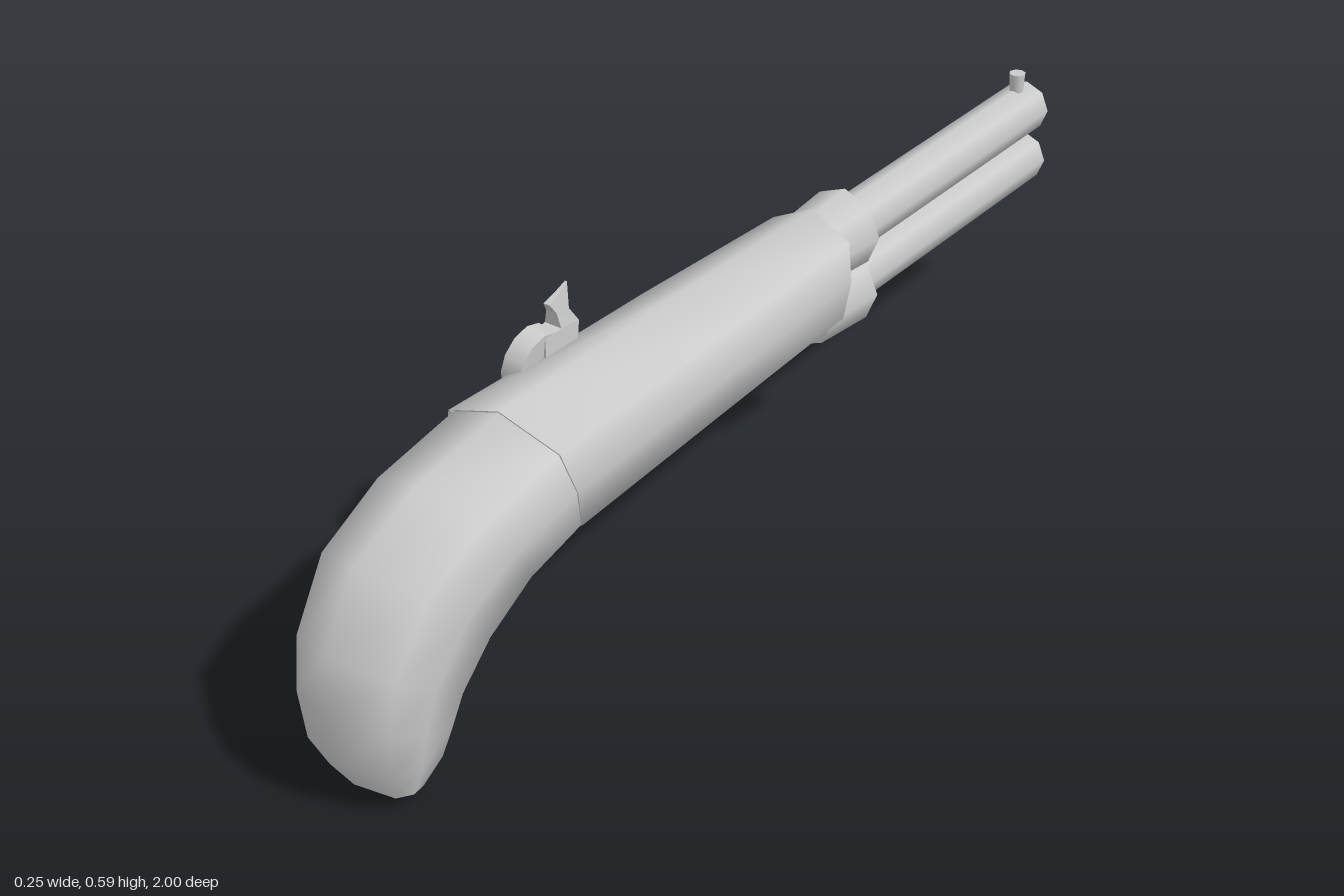
import * as THREE from 'three';
import { mergeGeometries } from 'three/addons/utils/BufferGeometryUtils.js';

const grey = new THREE.MeshStandardMaterial({ color: 0xcccccc });

function add(parent, name, geometry) {
  const mesh = new THREE.Mesh(geometry, grey);
  mesh.name = name;
  parent.add(mesh);
  return mesh;
}

function smooth(points, index) {
  const g = new THREE.BufferGeometry();
  g.setAttribute('position', new THREE.Float32BufferAttribute(points.flatMap(p => [p.x, p.y, p.z]), 3));
  g.setIndex(index);
  g.computeVertexNormals();
  return g;
}

// Skin between rings running towards +z, each ring clockwise seen from +z
function loft(rings, capStart, capEnd) {
  const n = rings[0].length;
  const index = [];
  for (let i = 0; i < rings.length - 1; i++) {
    for (let j = 0; j < n; j++) {
      const k = (j + 1) % n;
      const a = i * n + j, b = i * n + k, c = a + n, d = b + n;
      index.push(a, c, b, b, c, d);
    }
  }
  const parts = [smooth(rings.flat(), index)];
  const cap = (ring, flip) => {
    const centre = ring.reduce((s, p) => s.add(p), new THREE.Vector3()).divideScalar(n);
    const fan = [];
    for (let j = 0; j < n; j++) {
      const k = (j + 1) % n;
      fan.push(n, flip ? k : j, flip ? j : k);
    }
    parts.push(smooth([...ring, centre], fan));
  };
  if (capStart) cap(rings[0], false);
  if (capEnd) cap(rings[rings.length - 1], true);
  return mergeGeometries(parts);
}

// Eight-sided stock section: [sideways, share of the way from top to bottom]
const SECTION = [[0, 0], [0.9, 0.18], [1, 0.5], [0.86, 0.83], [0, 1], [-0.86, 0.83], [-1, 0.5], [-0.9, 0.18]];

// Row: top z, top y, bottom z, bottom y, half width
function stockRing([tz, ty, bz, by, w]) {
  return SECTION.map(([s, t]) => new THREE.Vector3(
    0.003 + s * w, THREE.MathUtils.lerp(ty, by, t), THREE.MathUtils.lerp(tz, bz, t)));
}

export function createModel() {
  const model = new THREE.Group();
  model.name = 'doubleBarrelPistol';

  // Stock: straight fore-end, then the curved grip
  add(model, 'body', loft([
    [-0.26, 0.512, -0.25, 0.283, 0.09],
    [0.1, 0.518, 0.1, 0.279, 0.105],
    [0.58, 0.519, 0.5, 0.271, 0.12],
  ].map(stockRing), true, true));

  add(model, 'grip', loft([
    [0.58, 0.517, 0.5, 0.272, 0.118],
    [0.77, 0.485, 0.61, 0.245, 0.119],
    [0.91, 0.42, 0.7, 0.19, 0.117],
    [0.985, 0.3, 0.76, 0.13, 0.111],
    [1.0, 0.2, 0.785, 0.08, 0.104],
    [0.99, 0.1, 0.805, 0.045, 0.094],
    [0.95, 0.035, 0.85, 0.003, 0.076],
  ].map(stockRing), false, true));

  // Two barrels, one above the other, each in a flared collar
  for (const [name, y, collarY, back] of [['upper', 0.427, 0.43, -0.24], ['lower', 0.32, 0.315, -0.235]]) {
    const barrel = add(model, name + 'Barrel', new THREE.CylinderGeometry(0.05, 0.05, 0.72, 8));
    barrel.rotation.x = -Math.PI / 2;
    barrel.position.set(0, y, -0.64);
    const front = -0.367;
    const collar = add(model, name + 'Collar', new THREE.CylinderGeometry(0.076, 0.067, back - front, 8));
    collar.rotation.x = -Math.PI / 2;
    collar.position.set(0, collarY, (back + front) / 2);
  }

  // Bead sight at the muzzle
  add(model, 'sight', new THREE.CylinderGeometry(0.016, 0.013, 0.05, 8)).position.set(0, 0.485, -0.96);

  // Lock plate along the right flank
  const plateRing = (z, dx, top, ridge, bottom) => [
    new THREE.Vector3(-0.07, top - 0.01, z),
    new THREE.Vector3(-0.07, bottom, z),
    new THREE.Vector3(dx + 0.008, bottom, z),
    new THREE.Vector3(dx, ridge, z),
    new THREE.Vector3(dx + 0.015, top, z),
  ];
  add(model, 'lockPlate', loft([
    plateRing(-0.26, -0.1, 0.455, 0.395, 0.36),
    plateRing(0.15, -0.112, 0.47, 0.385, 0.345),
    plateRing(0.57, -0.125, 0.475, 0.38, 0.345),
  ], true, true));

  // Hammer: round boss with a thumb spur that thins upwards
  const hammer = new THREE.Group();
  hammer.name = 'hammer';
  model.add(hammer);
  const boss = add(hammer, 'hammerBoss', new THREE.CylinderGeometry(0.06, 0.06, 0.038, 12));
  boss.rotation.z = Math.PI / 2 - 0.12;
  boss.position.set(-0.104, 0.468, 0.37);

  const outline = [[-0.37, 0.47], [-0.29, 0.475], [-0.285, 0.515], [-0.305, 0.545], [-0.3, 0.59],
    [-0.318, 0.58], [-0.348, 0.568], [-0.335, 0.548], [-0.33, 0.52], [-0.37, 0.515]];
  const spur = new THREE.ExtrudeGeometry(
    new THREE.Shape(outline.map(p => new THREE.Vector2(...p))), { depth: 1, bevelEnabled: false });
  spur.rotateY(Math.PI / 2);
  const pos = spur.attributes.position;
  for (let i = 0; i < pos.count; i++) {
    const rise = THREE.MathUtils.clamp((pos.getY(i) - 0.52) / 0.07, 0, 1);
    const half = 0.015 * (1 - rise) + 0.002;
    pos.setX(i, -0.095 + 0.005 * rise + (pos.getX(i) - 0.5) * 2 * half);
  }
  spur.computeVertexNormals();
  add(hammer, 'hammerSpur', spur);

  return model;
}
